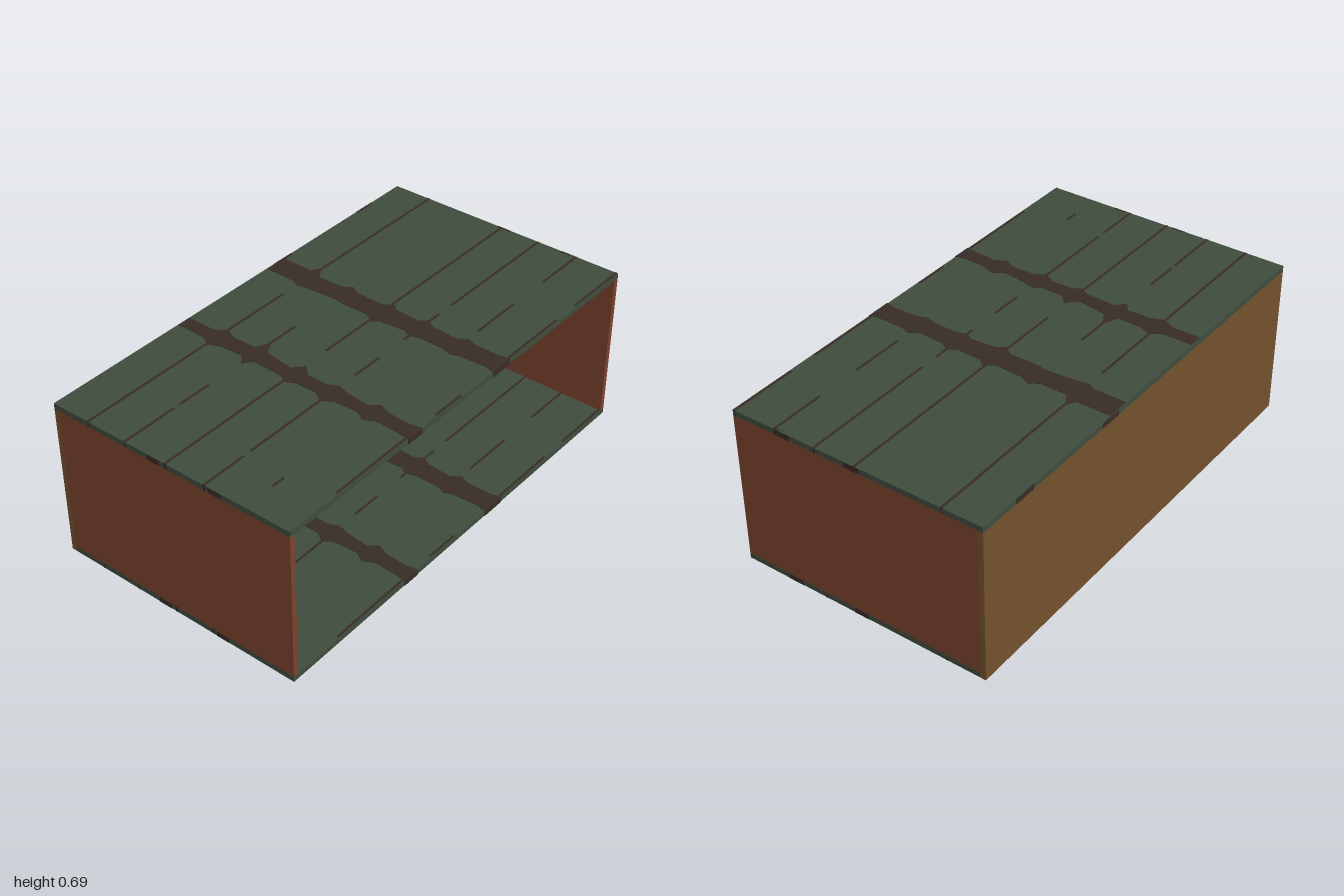
import * as THREE from 'three';

const HX = 0.554, H = 0.69, T = 0.023, LIFT = 0.0015;

const mat = (name, color) => {
  const m = new THREE.MeshStandardMaterial({ color });
  m.name = name;
  return m;
};

export function createModel() {
  const group = new THREE.Group();
  group.name = 'openCrate';
  const green = mat('greenPaint', 0x3e4c3c);
  const red = mat('redWood', 0x7b432e);
  const brown = mat('brownWood', 0x73512e);
  const dark = mat('darkGrain', 0x382c25);

  // Box given by its minimum and maximum corners
  const box = (parent, name, material, x0, x1, y0, y1, z0, z1) => {
    const mesh = new THREE.Mesh(new THREE.BoxGeometry(x1 - x0, y1 - y0, z1 - z0), material);
    mesh.position.set((x0 + x1) / 2, (y0 + y1) / 2, (z0 + z1) / 2);
    mesh.name = name;
    parent.add(mesh);
  };

  // Walls: a long closed side at -x and two ends; +x stays open
  box(group, 'longWall', brown, -HX, -HX + T, 0, H - T, -1, 1);
  box(group, 'frontWall', red, -HX + T, HX, T, H - T, 1 - T, 1);
  box(group, 'backWall', red, -HX + T, HX, T, H - T, -1, -1 + T);

  // Worn bands across the boards: [x, z of far edge, z of near edge]
  const bands = [
    [[-HX, -0.25, -0.15], [-0.41, -0.25, -0.15], [-0.385, -0.29, -0.13], [-0.355, -0.235, -0.14],
      [-0.24, -0.235, -0.15], [-0.2, -0.26, -0.15], [-0.16, -0.24, -0.145], [-0.04, -0.235, -0.145],
      [0, -0.265, -0.115], [0.03, -0.24, -0.14], [0.14, -0.235, -0.15], [0.17, -0.26, -0.13],
      [0.21, -0.235, -0.145], [0.32, -0.23, -0.145], [0.36, -0.255, -0.13], [0.4, -0.24, -0.145],
      [0.51, -0.24, -0.15], [HX, -0.25, -0.14]],
    [[-HX, 0.3, 0.36], [-0.43, 0.3, 0.36], [-0.38, 0.27, 0.385], [-0.33, 0.29, 0.365],
      [-0.23, 0.29, 0.36], [-0.2, 0.225, 0.4], [-0.17, 0.285, 0.36], [-0.04, 0.305, 0.365],
      [0, 0.26, 0.385], [0.04, 0.3, 0.365], [0.13, 0.3, 0.365], [0.17, 0.28, 0.39],
      [0.22, 0.295, 0.365], [0.32, 0.305, 0.36], [0.36, 0.275, 0.385], [0.41, 0.295, 0.36],
      [0.5, 0.3, 0.365], [HX, 0.29, 0.37]],
  ];
  // Seams between boards: [x, start z, end z, ...]
  const seams = [
    [-0.382, -1, -0.27, -0.05, 0.28, 0.38, 1],
    [-0.2, 0.09, 0.28, 0.57, 0.72, 0.75, 1],
    [-0.007, -1, -0.25, -0.14, 0.14, 0.38, 1],
    [0.174, -1, -0.4, -0.32, -0.1, 0.05, 0.19, 0.38, 0.76, 0.8, 1],
    [0.357, -1, -0.76, -0.56, -0.32, 0.8, 0.86],
    [0.546, -1, -0.7, -0.57, -0.15, 0.05, 0.2, 0.3, 0.75],
  ];

  // Horizontal boards; bands and seams run right through to the underside
  const panel = (name, x0, y0) => {
    const g = new THREE.Group();
    g.name = name;
    const y1 = y0 + T;
    box(g, 'board', green, x0, HX, y0, y1, -1, 1);
    for (const knots of bands) {
      const pts = knots.map(([x, z]) => new THREE.Vector2(Math.max(x, x0 + LIFT), -z));
      const back = knots.map(([x, , z]) => new THREE.Vector2(Math.max(x, x0 + LIFT), -z)).reverse();
      const geo = new THREE.ExtrudeGeometry(new THREE.Shape([...back.reverse(), ...pts.reverse()]),
        { depth: T + 2 * LIFT, bevelEnabled: false });
      geo.rotateX(-Math.PI / 2);
      const mesh = new THREE.Mesh(geo, dark);
      mesh.name = 'wornBand';
      mesh.position.set(LIFT, y0 - LIFT, 0);
      g.add(mesh);
    }
    for (const [x, ...runs] of seams)
      for (let i = 0; i < runs.length; i += 2)
        box(g, 'seam', dark, x - 0.005, x + 0.005, y0 - LIFT, y1 + LIFT, runs[i], runs[i + 1]);
    // Dark patches on the front and back edges
    for (const x of [-0.062, 0.221])
      box(g, 'frontEdgePatch', dark, x - 0.03, x + 0.03, y0, y1, 0.99, 1 + LIFT);
    for (const x of [0.32, 0.005])
      box(g, 'backEdgePatch', dark, x - 0.033, x + 0.033, y0, y1, -1 - LIFT, -0.99);
    group.add(g);
    return g;
  };
  panel('floor', -HX + T, 0);
  const top = panel('top', -HX, H - T);
  // Patches on the closed long edge of the top
  for (const z of [-0.77, -0.25])
    box(top, 'sideEdgePatch', dark, -HX - LIFT, -HX + 0.01, H - T, H, z - 0.05, z + 0.05);

  return group;
}
